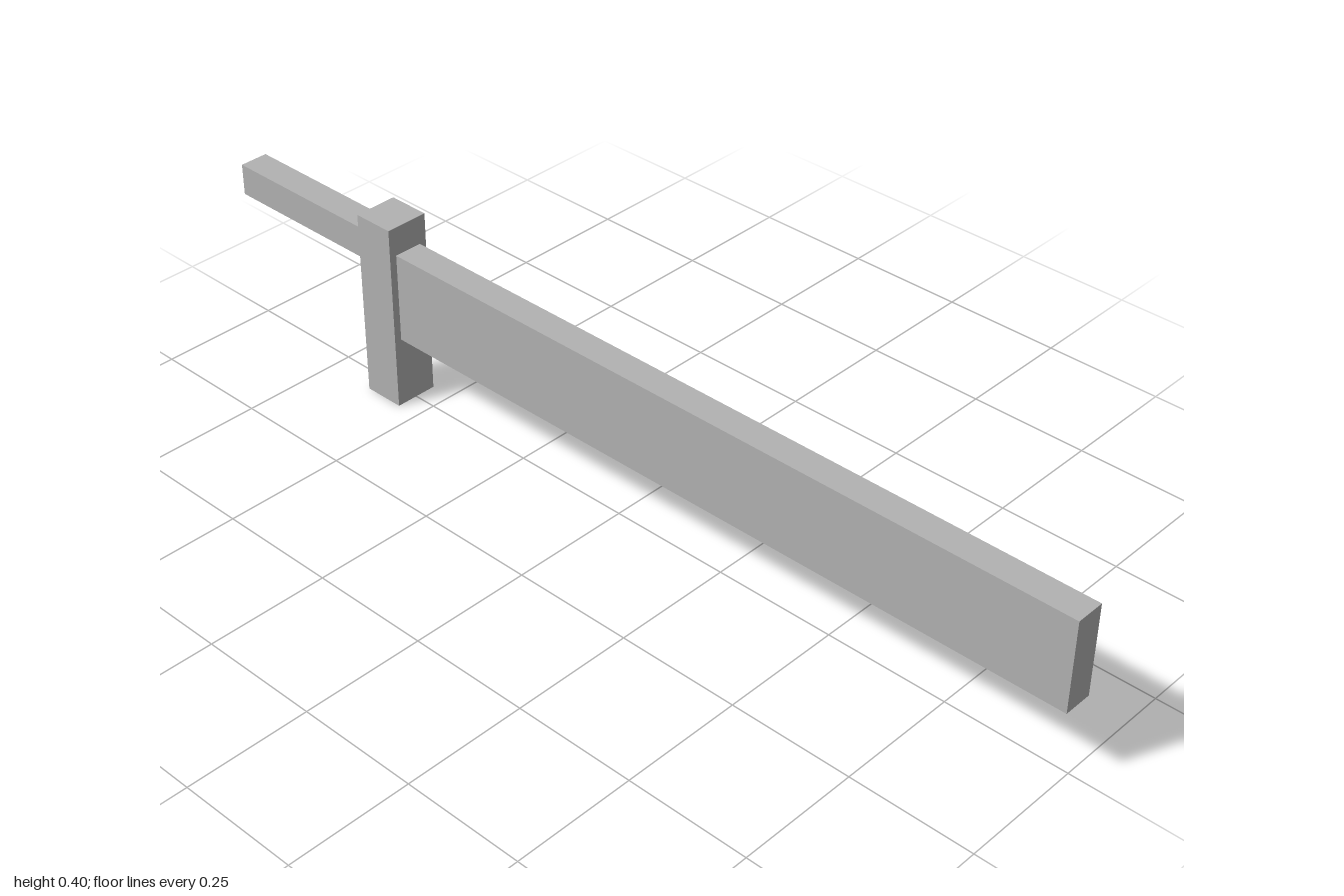
import * as THREE from 'three';

export function createModel() {
  const group = new THREE.Group();
  const grey = new THREE.MeshStandardMaterial({ color: 0xb2b2b2 });
  grey.name = 'light grey';

  // Box given by its x and y extents, centred on z = 0
  function bar(name, x0, x1, y0, y1, depth) {
    const mesh = new THREE.Mesh(new THREE.BoxGeometry(x1 - x0, y1 - y0, depth), grey);
    mesh.position.set((x0 + x1) / 2, (y0 + y1) / 2, 0);
    mesh.name = name;
    group.add(mesh);
  }

  // Thin grip, upright guard and broad blade, joined end to end
  bar('grip', -1, -0.636, 0.289, 0.355, 0.06);
  bar('guard', -0.636, -0.549, 0, 0.395, 0.091);
  bar('blade', -0.549, 1, 0.147, 0.335, 0.06);

  return group;
}
